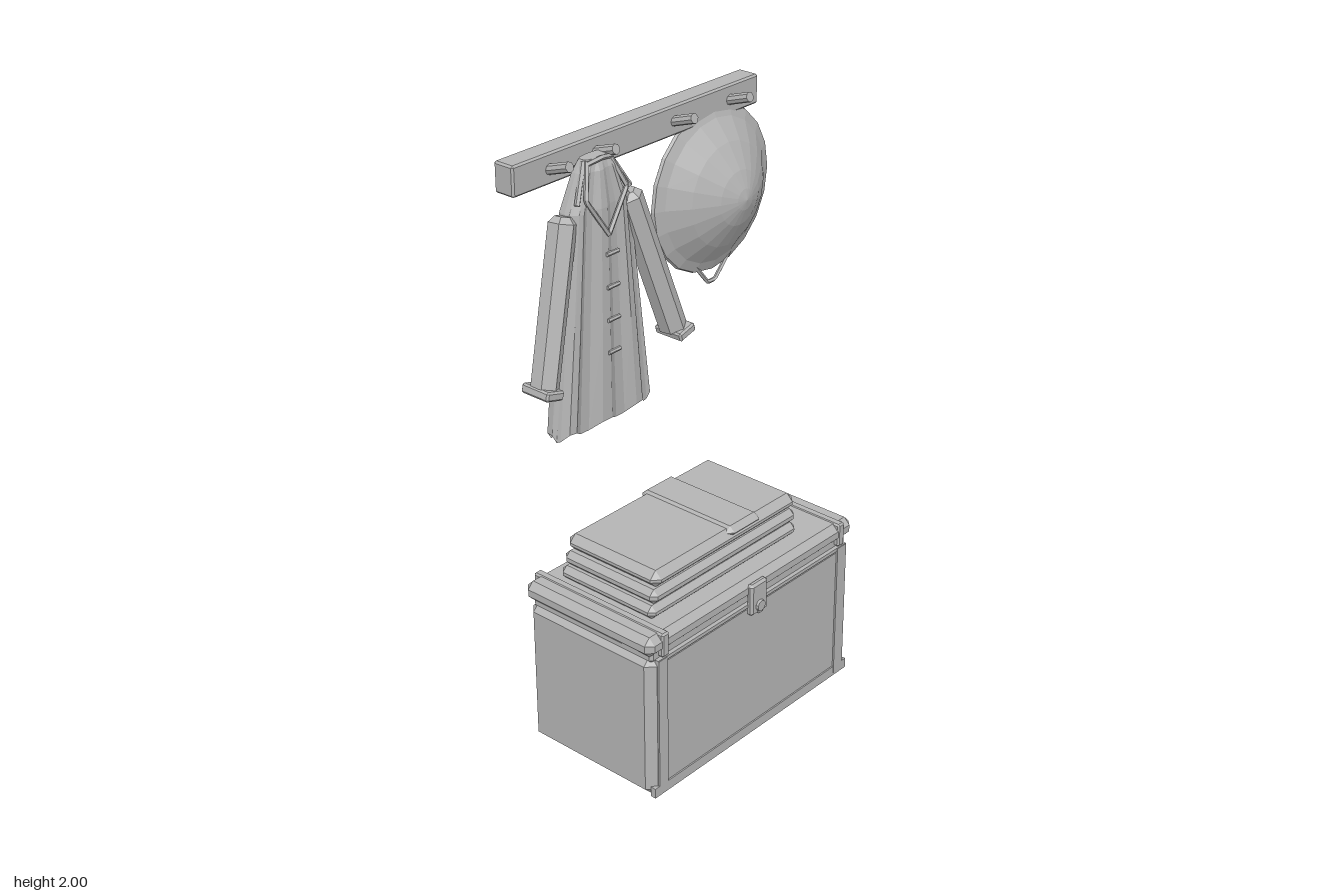
import * as THREE from 'three';
import { ConvexGeometry } from 'three/addons/geometries/ConvexGeometry.js';

const grey = new THREE.MeshStandardMaterial({ color: 0xb4b4b4, flatShading: true, side: THREE.DoubleSide });
const V = (x, y, z) => new THREE.Vector3(x, y, z);

function add(parent, name, geometry) {
  const mesh = new THREE.Mesh(geometry, grey);
  mesh.name = name;
  parent.add(mesh);
  return mesh;
}

function group(parent, name) {
  const g = new THREE.Group();
  g.name = name;
  parent.add(g);
  return g;
}

// Box between two limits on each axis, with chamfered edges
function chamferBox(parent, name, [x0, x1], [y0, y1], [z0, z1], c) {
  const pts = [];
  for (const [x, sx] of [[x0, 1], [x1, -1]])
    for (const [y, sy] of [[y0, 1], [y1, -1]])
      for (const [z, sz] of [[z0, 1], [z1, -1]])
        pts.push(V(x, y + sy * c, z + sz * c), V(x + sx * c, y, z + sz * c), V(x + sx * c, y + sy * c, z));
  return add(parent, name, new ConvexGeometry(pts));
}

function box(parent, name, [x0, x1], [y0, y1], [z0, z1]) {
  const mesh = add(parent, name, new THREE.BoxGeometry(x1 - x0, y1 - y0, z1 - z0));
  mesh.position.set((x0 + x1) / 2, (y0 + y1) / 2, (z0 + z1) / 2);
  return mesh;
}

// Straight round or many-sided rod between two points
function rod(parent, name, a, b, rA, rB, sides) {
  const dir = b.clone().sub(a);
  const mesh = add(parent, name, new THREE.CylinderGeometry(rB, rA, dir.length(), sides));
  mesh.position.copy(a).add(b).multiplyScalar(0.5);
  mesh.quaternion.setFromUnitVectors(V(0, 1, 0), dir.normalize());
  return mesh;
}

function polyTube(parent, name, pts, r) {
  const path = new THREE.CurvePath();
  for (let i = 1; i < pts.length; i++) path.add(new THREE.LineCurve3(pts[i - 1], pts[i]));
  return add(parent, name, new THREE.TubeGeometry(path, 24, r, 5));
}

function buildRail(root) {
  const g = group(root, 'coatRail');
  chamferBox(g, 'railBoard', [-0.545, 0.52], [1.905, 2], [-0.28, -0.205], 0.006);
  for (const x of [-0.4, -0.21, 0.13, 0.385])
    rod(g, 'peg', V(x, 1.95, -0.21), V(x, 1.978, -0.125), 0.016, 0.016, 8);
}

function buildChest(root) {
  const g = group(root, 'chest');
  chamferBox(g, 'chestBody', [-0.5, 0.475], [0.025, 0.535], [-0.27, 0.25], 0.028);
  chamferBox(g, 'lidLip', [-0.485, 0.46], [0.515, 0.56], [-0.258, 0.24], 0.01);
  chamferBox(g, 'lid', [-0.508, 0.482], [0.542, 0.61], [-0.275, 0.255], 0.022);
  // Raised frame on the front panel
  for (const [a, b] of [[-0.47, -0.43], [0.4, 0.445]])
    box(g, 'frontUpright', [a, b], [0.035, 0.525], [0.245, 0.256]);
  box(g, 'frontBottomTrim', [-0.49, 0.465], [0.03, 0.065], [0.236, 0.255]);
  box(g, 'frontTopTrim', [-0.47, 0.445], [0.515, 0.527], [0.24, 0.254]);
  // Runners under the floor
  for (const [a, b] of [[-0.44, -0.385], [0.36, 0.415]])
    box(g, 'runner', [a, b], [0, 0.03], [-0.23, 0.21]);
  // Straps over the lid
  for (const x of [-0.438, 0.415]) {
    chamferBox(g, 'lidStrap', [x - 0.016, x + 0.016], [0.53, 0.613], [-0.283, 0.258], 0.006);
  }
  // Latch
  chamferBox(g, 'latchPlate', [-0.053, 0.026], [0.485, 0.598], [0.245, 0.27], 0.008);
  rod(g, 'latchKnob', V(-0.014, 0.515, 0.26), V(-0.014, 0.515, 0.278), 0.022, 0.018, 10);
  box(g, 'latchTongue', [-0.025, -0.003], [0.49, 0.515], [0.265, 0.275]);
}

function buildBlanket(root) {
  const g = group(root, 'foldedBlanket');
  chamferBox(g, 'bottomFold', [-0.42, 0.277], [0.608, 0.655], [-0.205, 0.185], 0.018);
  chamferBox(g, 'middleFold', [-0.408, 0.275], [0.655, 0.705], [-0.2, 0.183], 0.018);
  chamferBox(g, 'topFold', [-0.395, 0.277], [0.702, 0.76], [-0.2, 0.18], 0.024);
  chamferBox(g, 'blanketBand', [-0.055, 0.1], [0.73, 0.768], [-0.203, 0.183], 0.02);
}

// Pleated coat body lofted from flattened rings
function coatBody() {
  const N = 32;
  const rings = [[1.13, 0.205, 0.042, 0.26], [1.45, 0.168, 0.044, 0.22], [1.82, 0.125, 0.045, 0.15],
    [1.93, 0.075, 0.035, 0.1], [1.965, 0.05, 0.022, 0]];
  const pos = [], idx = [];
  rings.forEach(([y, w, d, pleat], r) => {
    for (let i = 0; i < N; i++) {
      const a = (i / N) * Math.PI * 2;
      const fold = (i % 4 < 2 ? 1 : -1) * pleat;
      const s = Math.sin(a);
      const depth = Math.sign(s) * Math.sqrt(Math.abs(s)) * d * (1 + fold);
      pos.push(-0.26 + Math.cos(a) * w, y + (r === 0 ? fold * 0.04 : 0), -0.167 + depth);
      if (r > 0) {
        const j = (i + 1) % N, p = (r - 1) * N, q = r * N;
        idx.push(p + i, q + i, p + j, p + j, q + i, q + j);
      }
    }
  });
  const top = (rings.length - 1) * N;
  for (let i = 1; i < N - 1; i++) idx.push(top, top + i + 1, top + i);
  const geo = new THREE.BufferGeometry();
  geo.setAttribute('position', new THREE.Float32BufferAttribute(pos, 3));
  geo.setIndex(idx);
  geo.computeVertexNormals();
  return geo;
}

function buildCoat(root) {
  const g = group(root, 'hangingCoat');
  add(g, 'coatBody', coatBody());
  const cx = -0.26;
  for (const s of [-1, 1]) {
    const arm = group(g, s < 0 ? 'rightSleeve' : 'leftSleeve');
    const top = V(cx + s * 0.138, 1.8, -0.162), end = V(cx + s * 0.278, 1.345, -0.115);
    const tip = top.clone().lerp(end, -0.04);
    rod(arm, 'sleeve', end, top, 0.044, 0.044, 6);
    rod(arm, 'shoulder', top, tip, 0.044, 0.026, 6);
    const cuff = chamferBox(arm, 'cuff', [-0.036, 0.036], [-0.015, 0.015], [-0.054, 0.054], 0.006);
    cuff.position.set(cx + s * 0.287, 1.336, -0.115);
    cuff.rotation.z = s * 0.27;
    // Collar edge and lapel
    polyTube(g, 'lapel', [V(cx + s * 0.045, 1.962, -0.15), V(cx + s * 0.085, 1.86, -0.118),
      V(cx, 1.735, -0.112)], 0.008);
    polyTube(g, 'collarEdge', [V(cx + s * 0.05, 1.96, -0.16), V(cx + s * 0.11, 1.85, -0.13)], 0.009);
  }
  polyTube(g, 'collarTop', [V(cx - 0.05, 1.955, -0.145), V(cx, 1.965, -0.135), V(cx + 0.05, 1.955, -0.145)], 0.008);
  // Toggle fastenings
  for (let i = 0; i < 4; i++) {
    const y = 1.675 - i * 0.105;
    rod(g, 'toggle', V(-0.272, y, -0.112), V(-0.222, y, -0.112), 0.007, 0.007, 6);
  }
}

function buildHat(root) {
  const g = group(root, 'conicalHat');
  g.position.set(0.312, 1.68, 0);
  // Thin shell: outer slope, rim, inner slope
  const profile = [[0, -0.07], [0.035, -0.078], [0.09, -0.1], [0.17, -0.147], [0.235, -0.198], [0.268, -0.212],
    [0.272, -0.222], [0.262, -0.23], [0.235, -0.214], [0.17, -0.163], [0.09, -0.115], [0, -0.085]];
  const shell = add(g, 'hatShell', new THREE.LatheGeometry(
    profile.map(([r, z]) => new THREE.Vector2(r, z)).reverse(), 20));
  shell.rotation.x = Math.PI / 2;
  polyTube(g, 'chinCord', [V(-0.095, -0.22, -0.21), V(-0.018, -0.31, -0.215), V(0.018, -0.31, -0.215),
    V(0.095, -0.22, -0.21)], 0.007);
}

export function createModel() {
  const root = new THREE.Group();
  root.name = 'coatRailAndChest';
  buildRail(root);
  buildChest(root);
  buildBlanket(root);
  buildCoat(root);
  buildHat(root);
  return root;
}
